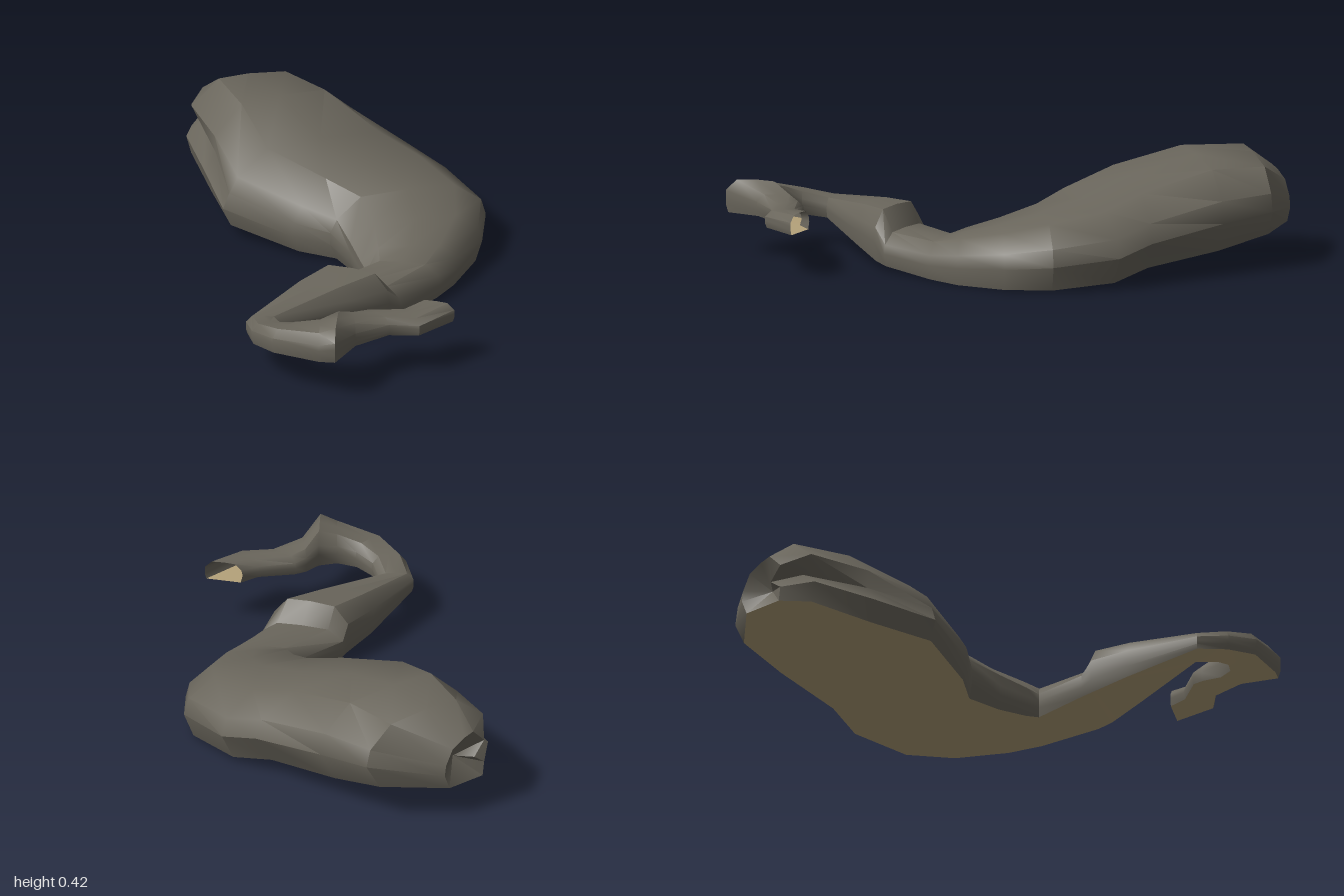
import * as THREE from 'three';
import { toCreasedNormals } from 'three/addons/utils/BufferGeometryUtils.js';

const { lerp } = THREE.MathUtils;

// Cross-sections from the broad end to the hooked tip:
// inner x, z, outer x, z, bottom height, top height
const sections = [
  [-0.73, -0.75, -0.62, -0.92, 0.125, 0.31],
  [-0.71, -0.62, -0.33, -1, 0.125, 0.4],
  [-0.57, -0.41, -0.12, -0.9, 0.085, 0.405],
  [-0.43, -0.2, 0.18, -0.75, 0.055, 0.34],
  [-0.13, -0.13, 0.33, -0.69, 0.02, 0.29],
  [0.02, -0.14, 0.53, -0.51, 0.01, 0.255],
  [0.13, -0.05, 0.575, -0.32, 0.005, 0.21],
  [0.2, 0.04, 0.55, -0.1, 0, 0.17],
  [0.235, 0.08, 0.52, 0.04, 0.005, 0.145],
  [0.11, 0.27, 0.44, 0.28, 0.02, 0.145],
  [0.1, 0.31, 0.41, 0.34, 0.03, 0.225],
  [0.04, 0.46, 0.3, 0.47, 0.055, 0.215],
  [-0.04, 0.75, 0.09, 0.72, 0.11, 0.185],
  [0.02, 0.86, 0.14, 0.8, 0.125, 0.21],
  [0.13, 0.95, 0.21, 0.82, 0.145, 0.24],
  [0.33, 0.995, 0.28, 0.81, 0.155, 0.265],
  [0.395, 0.995, 0.34, 0.76, 0.16, 0.29],
  [0.43, 0.84, 0.37, 0.69, 0.165, 0.25],
  [0.53, 0.72, 0.4, 0.65, 0.17, 0.24],
  [0.64, 0.69, 0.53, 0.59, 0.17, 0.235],
  [0.73, 0.53, 0.58, 0.53, 0.17, 0.245],
];

// Ring of points: underside edge, grooved flank, rounded top, outer flank, underside edge
function ring([ax, az, bx, bz, low, top], index) {
  const bulk = Math.max(0, 1 - index / 6); // fades out away from the broad end
  const profile = [
    [0.04, 0], [0, 0.25], [0.25 * bulk ** 3, 0.45], [0.3 * bulk * (1 - bulk), 0.66],
    [0.18 + 0.1 * bulk, 1], [0.5, 1.03], [0.8, 1], [0.97, 0.68], [1, 0.4],
    [0.95 - 0.07 * bulk, 0],
  ];
  return profile.map(([u, v]) => new THREE.Vector3(
    lerp(ax, bx, u),
    lerp(low, top + bulk * (0.04 - 0.08 * u), v),
    lerp(az, bz, u),
  ));
}

function meshFrom(points, material, name, crease) {
  const geometry = new THREE.BufferGeometry().setFromPoints(points);
  const mesh = new THREE.Mesh(toCreasedNormals(geometry, crease), material);
  mesh.name = name;
  return mesh;
}

// Triangle fan closing the broad end, hollowed so the flank groove runs round it
function hollowEnd(loop) {
  const centre = new THREE.Vector3();
  loop.forEach((p) => centre.addScaledVector(p, 1 / loop.length));
  centre.add(new THREE.Vector3(0.06, -0.01, 0.03));
  return loop.flatMap((p, i) => [centre, p, loop[(i + 1) % loop.length]]);
}

export function createModel() {
  const model = new THREE.Group();
  model.name = 'curvedRock';
  // the tip is left open, so both materials show their inner side
  const rock = new THREE.MeshStandardMaterial({ color: 0x6a665c, side: THREE.DoubleSide });
  rock.name = 'rock grey';
  const earth = new THREE.MeshStandardMaterial({ color: 0xb5a27a, side: THREE.DoubleSide });
  earth.name = 'earth tan';

  const rings = sections.map(ring);
  const n = rings[0].length;
  const shell = hollowEnd(rings[0]);
  const base = [];
  for (let s = 0; s < rings.length - 1; s++) {
    for (let i = 0; i < n; i++) {
      const j = (i + 1) % n;
      const [p, q, r, t] = [rings[s][i], rings[s][j], rings[s + 1][j], rings[s + 1][i]];
      // the last strip joins the two lower edges, forming the underside
      (i === n - 1 ? base : shell).push(p, t, q, q, t, r);
    }
  }

  model.add(meshFrom(shell, rock, 'rockShell', 0.75));
  model.add(meshFrom(base, earth, 'underside', 0.5));
  return model;
}
